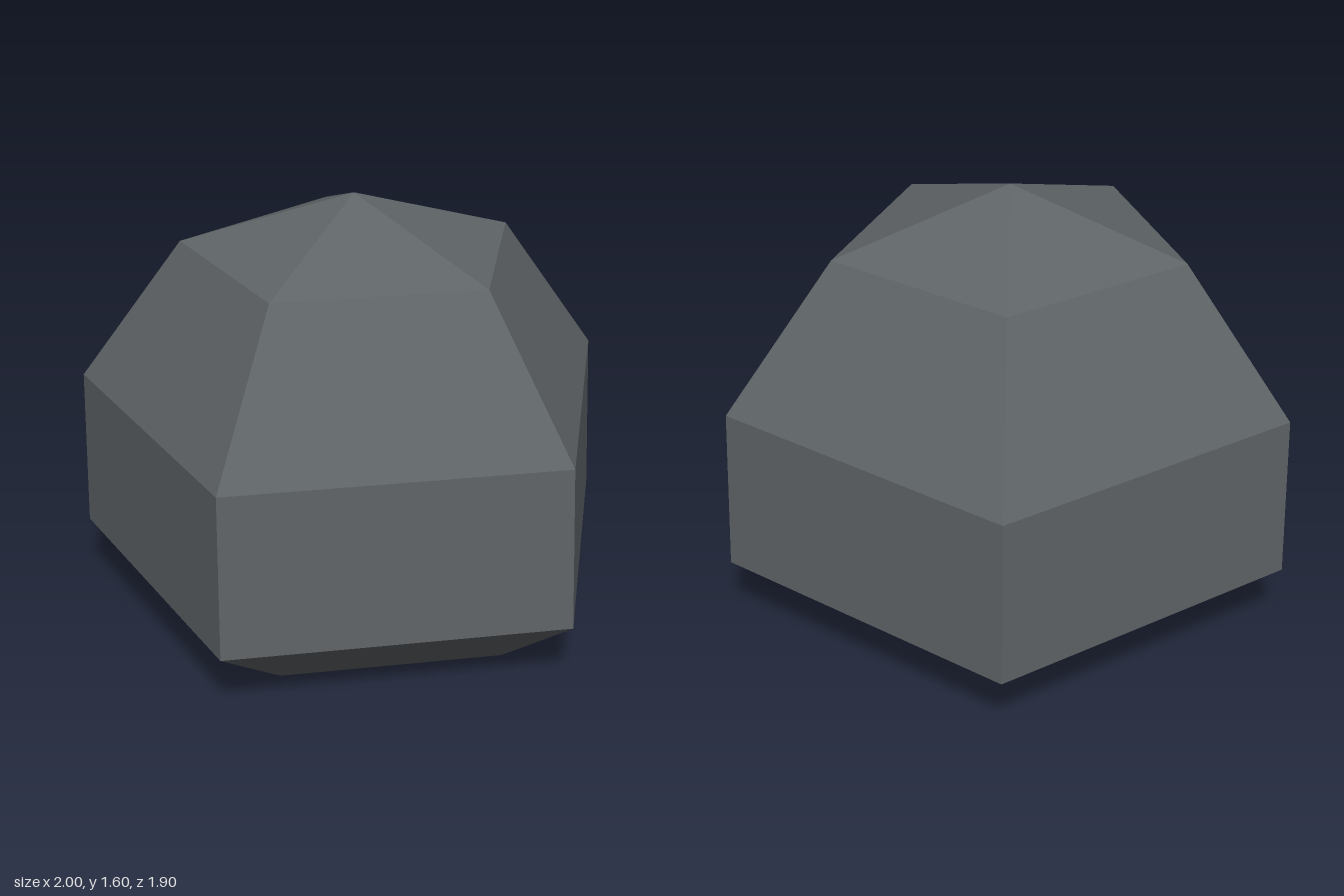
import * as THREE from 'three';

// Pentagon cross-sections from the opening underneath to the peak: [radius, height, z centre]
const RINGS = [
  [0.47, 0, -0.06],
  [0.69, 0, -0.06],
  [1.051, 0.235, -0.1],
  [1.036, 0.84, -0.106],
  [0.641, 1.385, -0.11],
  [0, 1.595, -0.11],
];

const corner = ([radius, y, z], i) => {
  const a = (i / 5) * Math.PI * 2;
  return [Math.sin(a) * radius, y, z + Math.cos(a) * radius];
};

// Five-sided band joining two cross-sections, facing outward
function band(lower, upper) {
  const points = [];
  for (let i = 0; i < 5; i++) {
    const a = corner(lower, i), b = corner(lower, i + 1);
    const c = corner(upper, i + 1), d = corner(upper, i);
    points.push(...a, ...b, ...c);
    if (upper[0] > 0) points.push(...a, ...c, ...d);
  }
  const geometry = new THREE.BufferGeometry();
  geometry.setAttribute('position', new THREE.Float32BufferAttribute(points, 3));
  geometry.computeVertexNormals();
  return geometry;
}

export function createModel() {
  const model = new THREE.Group();
  model.name = 'facetedDome';

  const slate = new THREE.MeshStandardMaterial({ color: 0x5f6467, flatShading: true, side: THREE.DoubleSide });
  slate.name = 'slateGrey';

  // Hollow shell, open in the middle of its base
  const names = ['baseRim', 'lowerBevel', 'wall', 'shoulder', 'peak'];
  names.forEach((name, i) => {
    const mesh = new THREE.Mesh(band(RINGS[i], RINGS[i + 1]), slate);
    mesh.name = name;
    model.add(mesh);
  });

  return model;
}
